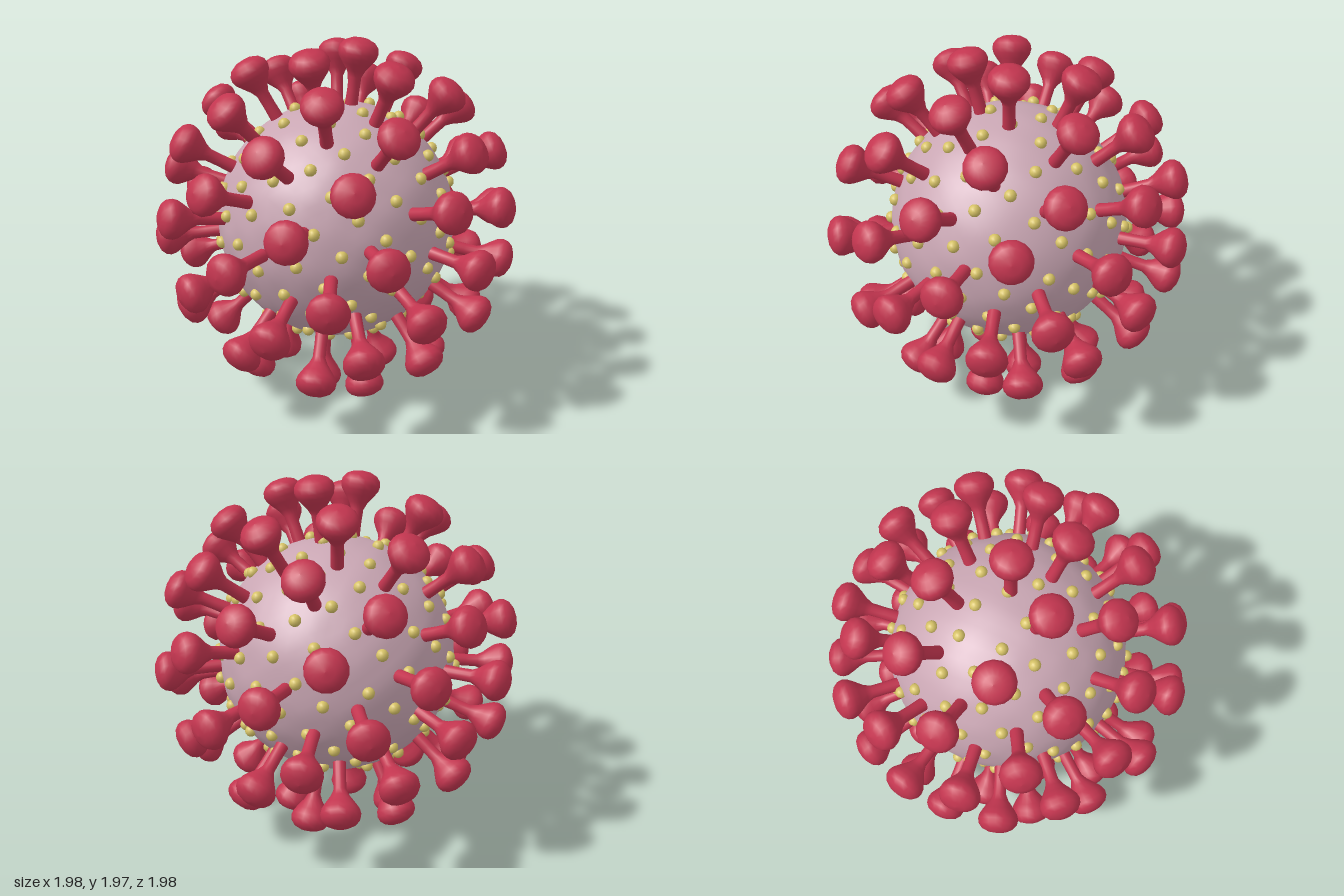
import * as THREE from 'three';
import { mergeVertices } from 'three/addons/utils/BufferGeometryUtils.js';

const GOLDEN_ANGLE = Math.PI * (3 - Math.sqrt(5));
const UP = new THREE.Vector3(0, 1, 0);
const BODY_RADIUS = 0.645;

const material = (name, color) => {
  const m = new THREE.MeshStandardMaterial({ color });
  m.name = name;
  return m;
};

// Direction number i of n, spread evenly over a sphere along a golden spiral
function spiralDirection(i, n) {
  const y = 1 - (2 * i + 1) / n;
  const r = Math.sqrt(1 - y * y);
  const a = i * GOLDEN_ANGLE;
  return new THREE.Vector3(r * Math.cos(a), y, r * Math.sin(a));
}

// Slightly uneven round body
function bodyGeometry() {
  let g = new THREE.IcosahedronGeometry(BODY_RADIUS, 14);
  g.deleteAttribute('normal');
  g.deleteAttribute('uv');
  g = mergeVertices(g, 1e-4);
  const p = g.attributes.position;
  const v = new THREE.Vector3();
  for (let i = 0; i < p.count; i++) {
    v.fromBufferAttribute(p, i);
    const bump = Math.sin(v.x * 19 + v.y * 7) * Math.sin(v.y * 23 - v.z * 5) * Math.sin(v.z * 17 + v.x * 9);
    v.multiplyScalar(1 + 0.007 * bump);
    p.setXYZ(i, v.x, v.y, v.z);
  }
  g.computeVertexNormals();
  return g;
}

// Spike: thin stalk flaring into a rounded club, measured from the body's centre
function spikeGeometry() {
  const profile = [
    [0.036, 0.61], [0.033, 0.72], [0.034, 0.79], [0.05, 0.825], [0.08, 0.865],
    [0.1, 0.895], [0.107, 0.922], [0.102, 0.948], [0.082, 0.973], [0.045, 0.99], [0, 0.995],
  ].map(([r, y]) => new THREE.Vector2(r, y));
  return new THREE.LatheGeometry(profile, 16);
}

export function createModel() {
  const group = new THREE.Group();
  group.name = 'spikedSphere';
  const pink = material('dusty pink', 0xc9a6b3);
  const red = material('crimson', 0xc2354f);
  const yellow = material('pale gold', 0xd6c266);

  const centre = new THREE.Group();
  centre.name = 'particle';
  centre.position.y = 1;
  group.add(centre);

  const body = new THREE.Mesh(bodyGeometry(), pink);
  body.name = 'body';
  centre.add(body);

  // Spikes all round, a few leaning a little off the spiral
  const lean = {
    0: [-0.045, 0, 0.02], 1: [0.04, 0, 0.01], 2: [0.03, 0, -0.02],
    10: [-0.025, 0, 0], 8: [-0.03, 0, -0.02], 32: [-0.045, 0, 0],
    29: [0, 0.03, 0.02], 34: [0, -0.025, 0], 21: [0, 0.03, 0], 24: [0.025, 0, 0],
  };
  const spikeShape = spikeGeometry();
  const spikeCount = 70;
  for (let i = 0; i < spikeCount; i++) {
    const dir = spiralDirection(i, spikeCount);
    if (lean[i]) dir.add(new THREE.Vector3(...lean[i])).normalize();
    const spike = new THREE.Mesh(spikeShape, red);
    spike.name = `spike${i + 1}`;
    spike.quaternion.setFromUnitVectors(UP, dir);
    centre.add(spike);
  }

  // Small beads half sunk in the body
  const beadShape = new THREE.SphereGeometry(0.032, 12, 8);
  const beadCount = 156;
  for (let i = 0; i < beadCount; i++) {
    const bead = new THREE.Mesh(beadShape, yellow);
    bead.name = `bead${i + 1}`;
    bead.position.copy(spiralDirection(i, beadCount)).multiplyScalar(BODY_RADIUS + 0.003);
    centre.add(bead);
  }
  return group;
}
